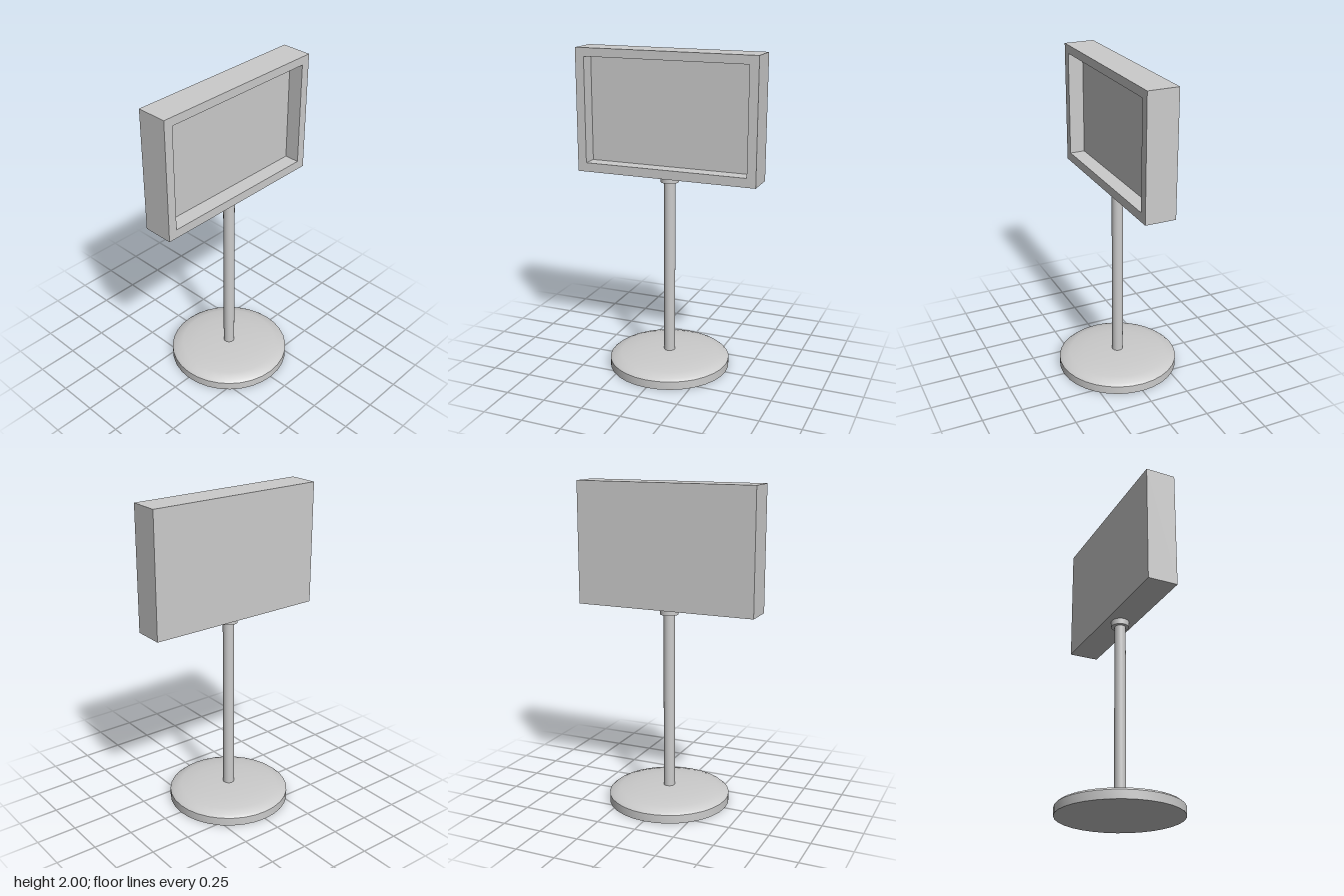
import * as THREE from 'three';
import { toCreasedNormals } from 'three/addons/utils/BufferGeometryUtils.js';

const material = new THREE.MeshStandardMaterial({ color: 0xcccccc });
const SIDES = 32;

function addPart(group, name, geometry, y = 0) {
  const mesh = new THREE.Mesh(geometry, material);
  mesh.name = name;
  mesh.position.y = y;
  group.add(mesh);
}

// Corners of an upright rectangle at x, counter-clockwise as seen from +x
function rectangle(x, halfZ, bottom, top) {
  return [
    [x, bottom, halfZ], [x, bottom, -halfZ],
    [x, top, -halfZ], [x, top, halfZ],
  ];
}

// Closed cabinet with one recessed face, skinned through successive rectangles
function recessedCabinet(loops) {
  const positions = [];
  const quad = (a, b, c, d) => positions.push(...a, ...b, ...c, ...a, ...c, ...d);
  for (let k = 0; k < loops.length - 1; k++) {
    const a = loops[k], b = loops[k + 1];
    for (let i = 0; i < 4; i++) {
      const j = (i + 1) % 4;
      quad(a[i], a[j], b[j], b[i]);
    }
  }
  quad(...[...loops[0]].reverse());
  quad(...loops[loops.length - 1]);
  const geometry = new THREE.BufferGeometry();
  geometry.setAttribute('position', new THREE.Float32BufferAttribute(positions, 3));
  geometry.computeVertexNormals();
  return geometry;
}

export function createModel() {
  const group = new THREE.Group();
  group.name = 'signStand';

  // Round foot with a shallow domed top
  const profile = [
    [0, 0], [0.38, 0], [0.38, 0.052], [0.362, 0.067],
    [0.31, 0.08], [0.22, 0.09], [0.12, 0.095], [0, 0.097],
  ].map(([r, y]) => new THREE.Vector2(r, y));
  addPart(group, 'base', toCreasedNormals(new THREE.LatheGeometry(profile, SIDES), 0.5));

  // Post and the collar that carries the cabinet
  addPart(group, 'pole', new THREE.CylinderGeometry(0.035, 0.035, 1.14, SIDES), 0.65);
  addPart(group, 'collar', new THREE.CylinderGeometry(0.056, 0.056, 0.04, SIDES), 1.225);

  // Sign cabinet: outer shell, rim, then the recessed panel on the +x side
  addPart(group, 'signCabinet', recessedCabinet([
    rectangle(-0.095, 0.572, 1.242, 2),
    rectangle(0.095, 0.572, 1.242, 2),
    rectangle(0.095, 0.516, 1.298, 1.948),
    rectangle(0, 0.516, 1.298, 1.948),
  ]));

  return group;
}
